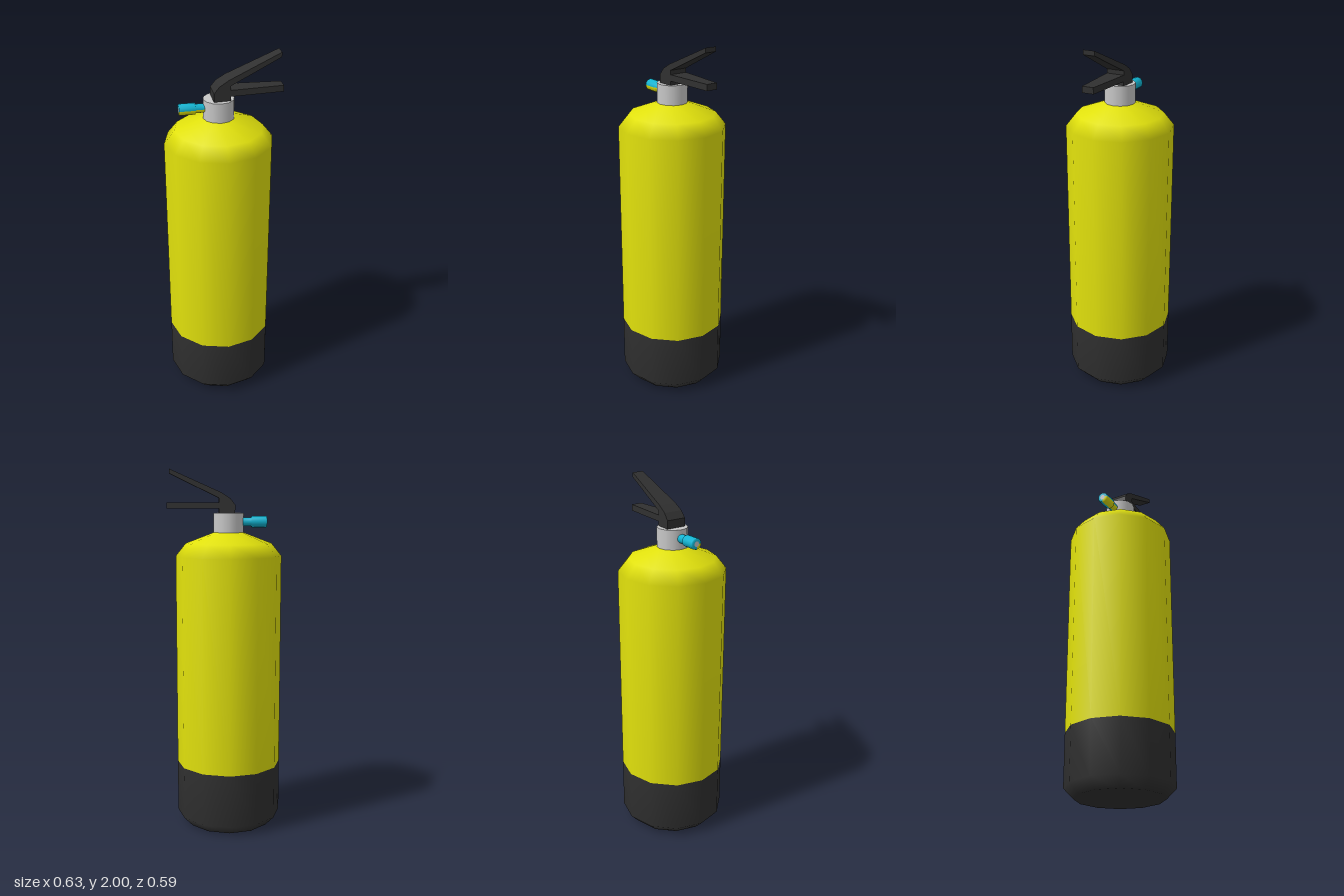
import * as THREE from 'three';

const SIDES = 12;
const AXIS_X = -0.024; // cylinder axis, offset because the levers overhang on one side

const mat = (name, color, side = THREE.FrontSide) => {
  const m = new THREE.MeshStandardMaterial({ color, side });
  m.name = name;
  return m;
};

export function createModel() {
  const yellow = mat('yellow paint', 0xe0e00c);
  const black = mat('black rubber', 0x303030);
  const grey = mat('light grey metal', 0xc8c8c8);
  const cyan = mat('cyan plastic', 0x10b4d2);

  const group = new THREE.Group();
  group.name = 'fireExtinguisher';
  const add = (name, geometry, material, x = 0, y = 0, z = 0) => {
    const mesh = new THREE.Mesh(geometry, material);
    mesh.name = name;
    mesh.position.set(x, y, z);
    group.add(mesh);
    return mesh;
  };
  const lathe = (profile, sides = SIDES, start = 0, length = Math.PI * 2) =>
    new THREE.LatheGeometry(profile.map(([r, y]) => new THREE.Vector2(r, y)), sides, start, length);

  // Tank: black boot below, yellow shell with a sloping shoulder above
  add('boot', lathe([[0, 0], [0.24, 0], [0.293, 0.055], [0.293, 0.35]]), black, AXIS_X);
  add('tank', lathe([[0.293, 0.35], [0.293, 1.53], [0.237, 1.6], [0.08, 1.66]]), yellow, AXIS_X);

  // Valve collar
  add('valveCollar', new THREE.CylinderGeometry(0.083, 0.083, 0.107, SIDES), grey, AXIS_X, 1.7115);

  // Side outlet: cyan, with the lower front quarter yellow
  const outlet = [[0.024, 0.07], [0.024, 0.123], [0.031, 0.126], [0.031, 0.205], [0.028, 0.211], [0.015, 0.211]];
  const quarter = Math.PI / 2;
  add('outletShell', lathe(outlet, 9, 0, quarter * 3).rotateZ(quarter), cyan, AXIS_X, 1.717, 0.001);
  add('outletUnderside', lathe(outlet, 3, quarter * 3, quarter).rotateZ(quarter), yellow, AXIS_X, 1.717, 0.001);
  add('outletOpening', new THREE.CircleGeometry(0.015, SIDES).rotateY(-quarter), grey, -0.235, 1.717, 0.001);

  // Forked levers: side outline extruded, then narrowed towards the tips
  const outline = [
    [-0.058, 1.764], [0.03, 1.764], [0.03, 1.788], [0.314, 1.788], [0.314, 1.822],
    [0.03, 1.822], [0.03, 1.845], [0.298, 1.975], [0.298, 2.0], [0.02, 1.876],
    [-0.03, 1.845], [-0.058, 1.81],
  ];
  const levers = new THREE.ExtrudeGeometry(
    new THREE.Shape(outline.map(([x, y]) => new THREE.Vector2(x, y))),
    { depth: 2, bevelEnabled: false },
  ).translate(0, 0, -1);
  const p = levers.attributes.position;
  for (let i = 0; i < p.count; i++) {
    const t = (p.getX(i) + 0.058) / 0.372;
    p.setZ(i, p.getZ(i) * THREE.MathUtils.lerp(0.056, 0.032, t));
  }
  levers.computeVertexNormals();
  add('levers', levers, black);

  return group;
}
